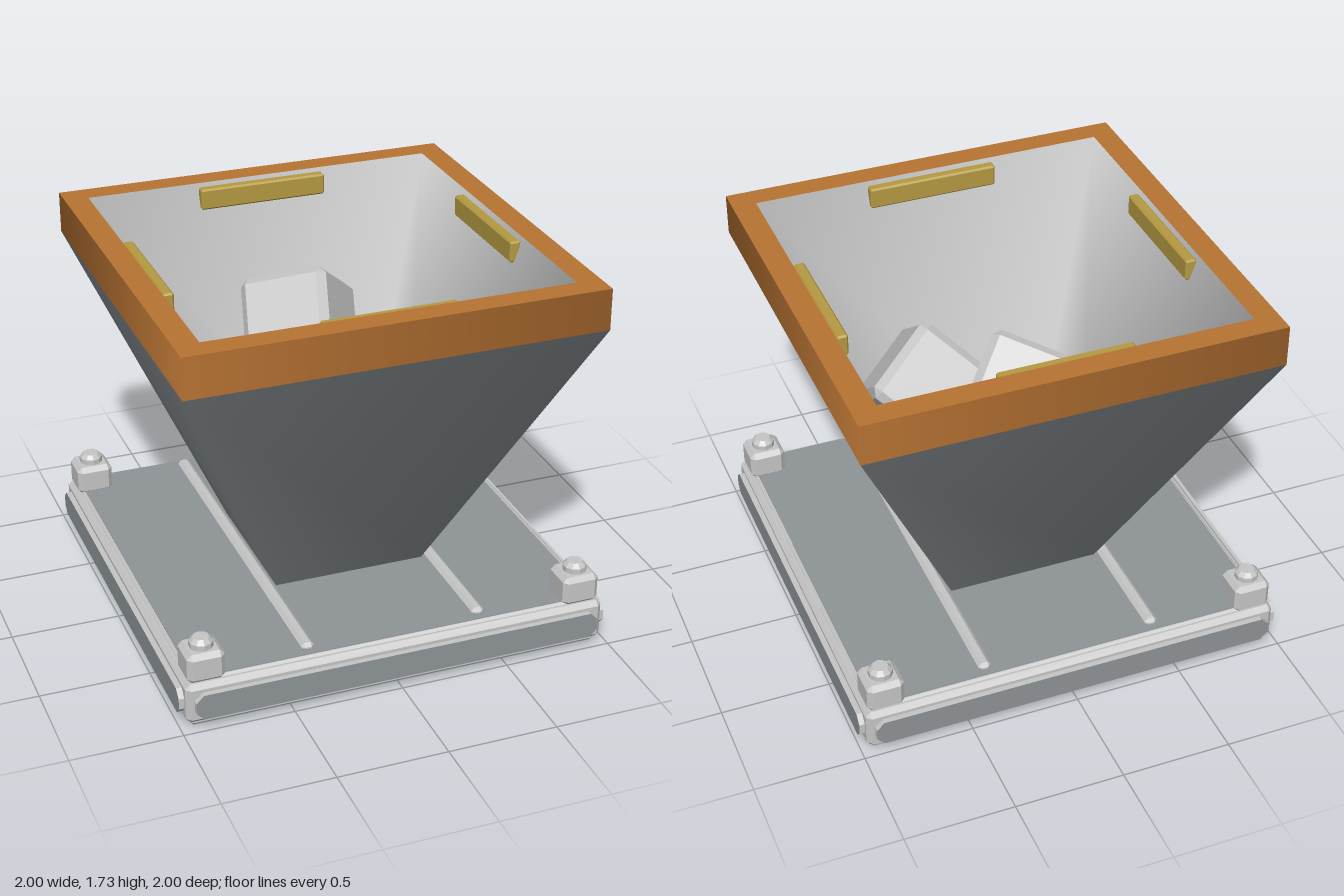
import * as THREE from 'three';
import { ConvexGeometry } from 'three/addons/geometries/ConvexGeometry.js';

const mat = (name, color) => {
  const m = new THREE.MeshStandardMaterial({ color });
  m.name = name;
  return m;
};

// Box with every edge cut by c
function chamferBox(w, h, d, c) {
  const pts = [];
  for (const x of [-1, 1]) for (const y of [-1, 1]) for (const z of [-1, 1]) {
    const X = x * w / 2, Y = y * h / 2, Z = z * d / 2;
    pts.push(new THREE.Vector3(X, Y - y * c, Z - z * c));
    pts.push(new THREE.Vector3(X - x * c, Y, Z - z * c));
    pts.push(new THREE.Vector3(X - x * c, Y - y * c, Z));
  }
  return new ConvexGeometry(pts);
}

// Four-sided wall with softly blended corners; profile is [half width, height].
// A rising profile faces outward, a falling one inward.
function squareLathe(profile) {
  const pts = profile.map(([half, y]) => new THREE.Vector2(half * Math.SQRT2, y));
  const wall = new THREE.LatheGeometry(pts, 4, Math.PI / 4);
  wall.normalizeNormals();
  return wall;
}

export function createModel() {
  const model = new THREE.Group();
  model.name = 'hopper';
  const silver = mat('silver', 0xc6c6c6);
  const steel = mat('steel', 0x8e9497);
  const copper = mat('copper', 0xb87333);
  const brass = mat('brass', 0xb59a42);

  const add = (name, geometry, material, x = 0, y = 0, z = 0) => {
    const mesh = new THREE.Mesh(geometry, material);
    mesh.name = name;
    mesh.position.set(x, y, z);
    model.add(mesh);
    return mesh;
  };

  // Base frame with deck and underside
  add('baseFoot', chamferBox(1.9, 0.06, 1.9, 0.012), silver, 0, 0.032, 0);
  add('baseFrame', chamferBox(1.95, 0.19, 1.95, 0.022), silver, 0, 0.12, 0);
  add('deckRim', chamferBox(1.89, 0.06, 1.89, 0.01), silver, 0, 0.197, 0);
  add('deck', new THREE.BoxGeometry(1.86, 0.008, 1.86), steel, 0, 0.226, 0);
  add('underside', new THREE.BoxGeometry(1.88, 0.006, 1.88), steel, 0, 0.003, 0);

  // Long octagonal panels on the four sides
  const L = 0.94, H = 0.06, C = 0.035;
  const octagon = new THREE.Shape([
    [-L + C, -H], [L - C, -H], [L, -H + C], [L, H - C],
    [L - C, H], [-L + C, H], [-L, H - C], [-L, -H + C],
  ].map(([x, y]) => new THREE.Vector2(x, y)));
  const panel = new THREE.ExtrudeGeometry(octagon, { depth: 0.05, bevelEnabled: false });
  panel.translate(0, 0, 0.95);
  for (let i = 0; i < 4; i++) {
    add('sidePanel', panel, [steel, silver], 0, 0.118, 0).rotation.y = i * Math.PI / 2;
  }

  // Corner blocks with bolts
  const block = chamferBox(0.17, 0.14, 0.17, 0.022);
  const bolt = new THREE.LatheGeometry(
    [[0.054, 0], [0.054, 0.03], [0.036, 0.05], [0, 0.05]].map(([r, y]) => new THREE.Vector2(r, y)), 10,
  ).toNonIndexed();
  bolt.computeVertexNormals();
  for (const x of [-0.875, 0.875]) for (const z of [-0.875, 0.875]) {
    add('cornerBlock', block, silver, x, 0.28, z);
    add('cornerBolt', bolt, silver, x, 0.345, z);
  }

  // Deck rails
  for (const x of [-0.4, 0.4]) {
    add('deckRail', chamferBox(0.06, 0.04, 1.8, 0.016), silver, x, 0.238, 0);
  }

  // Funnel shell, lining, floor and rim band
  add('funnelShell', squareLathe([[0.355, 0.23], [0.94, 1.54]]), steel);
  add('funnelLining', squareLathe([[0.83, 1.73], [0.31, 0.3]]), silver);
  add('funnelFloor', new THREE.BoxGeometry(0.62, 0.02, 0.62), silver, 0, 0.295, 0);
  add('rimBand', squareLathe([[0.94, 1.54], [0.94, 1.73]]), copper);
  add('rimTop', squareLathe([[0.94, 1.73], [0.83, 1.73]]), copper);

  // Bars set into the inner walls
  const bar = chamferBox(0.61, 0.1, 0.05, 0.008);
  bar.translate(0, 0, 0.796);
  for (let i = 0; i < 4; i++) {
    add('innerBar', bar, brass, 0, 1.665, 0).rotation.y = i * Math.PI / 2;
  }

  // Tumbled ore cubes: centre and two edge directions
  const cube = chamferBox(0.42, 0.42, 0.42, 0.036);
  const cubes = [
    [[0.005, 1.185, -0.295], [-0.30, -0.11, -0.21], [0.24, -0.21, -0.20]],
    [[0.268, 0.995, 0.195], [-0.25, -0.23, -0.18], [0.29, -0.21, -0.14]],
    [[-0.225, 0.7, -0.12], [0.02, -0.118, 0.36], [0.36, -0.06, -0.04]],
  ];
  for (const [centre, a, b] of cubes) {
    const u = new THREE.Vector3(...a).normalize();
    const w = new THREE.Vector3().crossVectors(u, new THREE.Vector3(...b)).normalize();
    const v = new THREE.Vector3().crossVectors(w, u);
    add('oreCube', cube, silver, ...centre)
      .quaternion.setFromRotationMatrix(new THREE.Matrix4().makeBasis(u, v, w));
  }
  return model;
}
